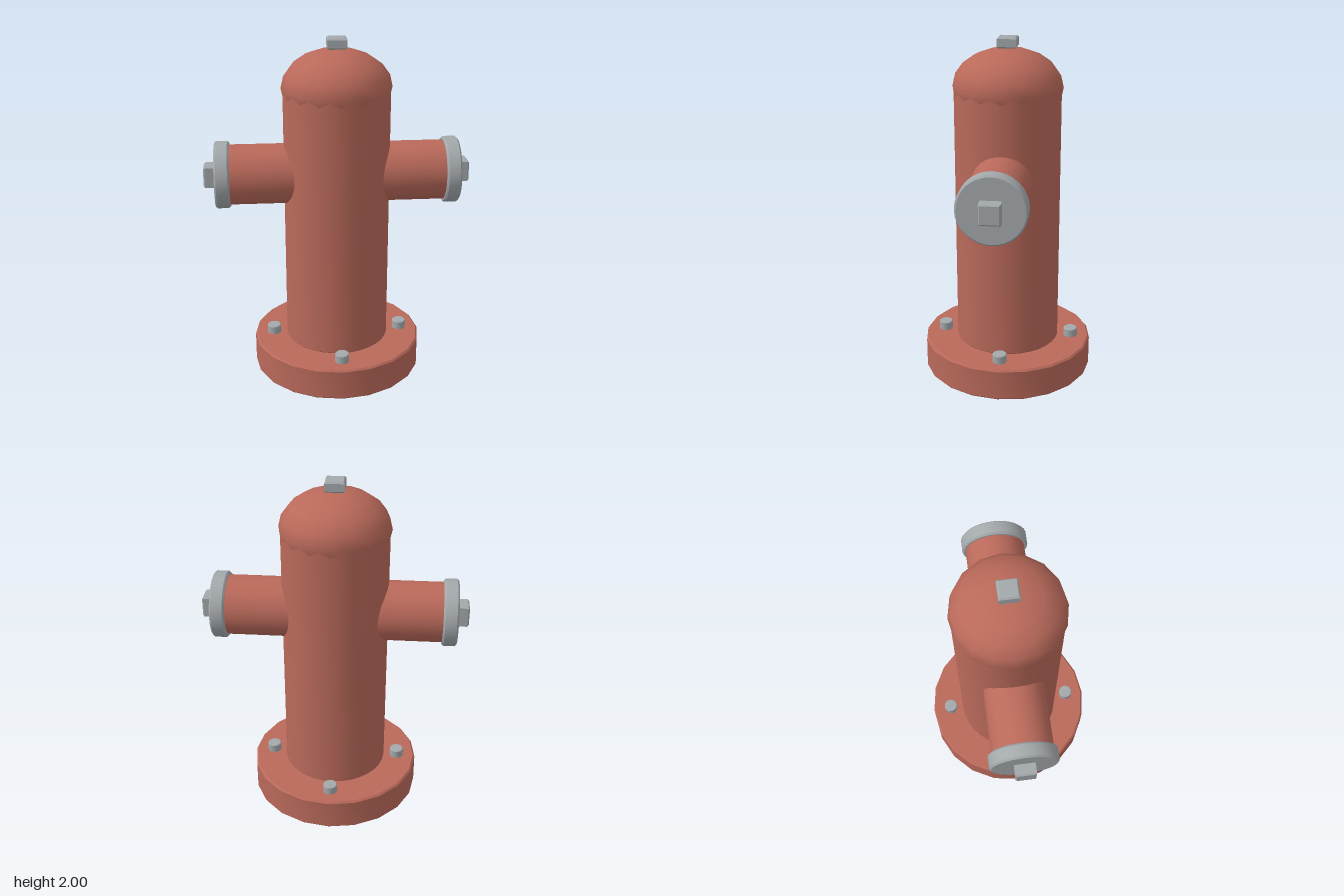
import * as THREE from 'three';
import { toCreasedNormals } from 'three/addons/utils/BufferGeometryUtils.js';

const red = new THREE.MeshStandardMaterial({ color: 0xb9695a });
const grey = new THREE.MeshStandardMaterial({ color: 0xa3a8ab });

// Upright cylinder from y0 to y1 with bevelled rims
function bevelledCylinder(radius, y0, y1, bevel, sides) {
  const profile = [
    [0, y0], [radius - bevel, y0], [radius, y0 + bevel],
    [radius, y1 - bevel], [radius - bevel, y1], [0, y1],
  ].map(([x, y]) => new THREE.Vector2(x, y));
  return toCreasedNormals(new THREE.LatheGeometry(profile, sides), 0.6);
}

// Square nut with chamfered edges, standing on y0
function nutGeometry(size, height, y0, bevel) {
  const half = size / 2 - bevel;
  const shape = new THREE.Shape([
    new THREE.Vector2(-half, -half), new THREE.Vector2(half, -half),
    new THREE.Vector2(half, half), new THREE.Vector2(-half, half),
  ]);
  const geometry = new THREE.ExtrudeGeometry(shape, {
    depth: height - 2 * bevel, bevelEnabled: true,
    bevelSize: bevel, bevelThickness: bevel, bevelSegments: 1,
  });
  geometry.rotateX(-Math.PI / 2);
  return geometry.translate(0, y0 + bevel, 0);
}

function add(parent, name, geometry, material) {
  const mesh = new THREE.Mesh(geometry, material);
  mesh.name = name;
  parent.add(mesh);
  return mesh;
}

export function createModel() {
  const model = new THREE.Group();
  model.name = 'hydrant';

  // Base flange and barrel
  add(model, 'base', bevelledCylinder(0.5, 0, 0.19, 0.01, 20), red);
  add(model, 'barrel', bevelledCylinder(0.305, 0.185, 1.72, 0.01, 32), red);

  // Flattened dome and its nut
  const dome = add(model, 'dome', new THREE.SphereGeometry(0.315, 16, 10), red);
  dome.scale.y = 0.22 / 0.315;
  dome.position.y = 1.72;
  add(model, 'topNut', nutGeometry(0.11, 0.06, 1.94, 0.008), grey);

  // Four flange bolts
  const boltGeometry = bevelledCylinder(0.041, 0.17, 0.24, 0.004, 16);
  for (let i = 0; i < 4; i++) {
    const angle = i * Math.PI / 2;
    const bolt = add(model, 'bolt', boltGeometry, grey);
    bolt.position.set(Math.cos(angle) * 0.385, 0, Math.sin(angle) * 0.385);
  }

  // Side outlets, built upright and laid outward
  const pipe = bevelledCylinder(0.173, 0.1, 0.63, 0.008, 32);
  const cap = bevelledCylinder(0.193, 0.615, 0.7, 0.01, 32);
  const nut = nutGeometry(0.116, 0.075, 0.69, 0.008);
  for (const side of [1, -1]) {
    const outlet = new THREE.Group();
    outlet.name = side > 0 ? 'leftOutlet' : 'rightOutlet';
    add(outlet, 'outletPipe', pipe, red);
    add(outlet, 'outletCap', cap, grey);
    add(outlet, 'outletNut', nut, grey);
    outlet.rotation.z = -side * Math.PI / 2;
    outlet.position.y = 1.22;
    model.add(outlet);
  }
  return model;
}
